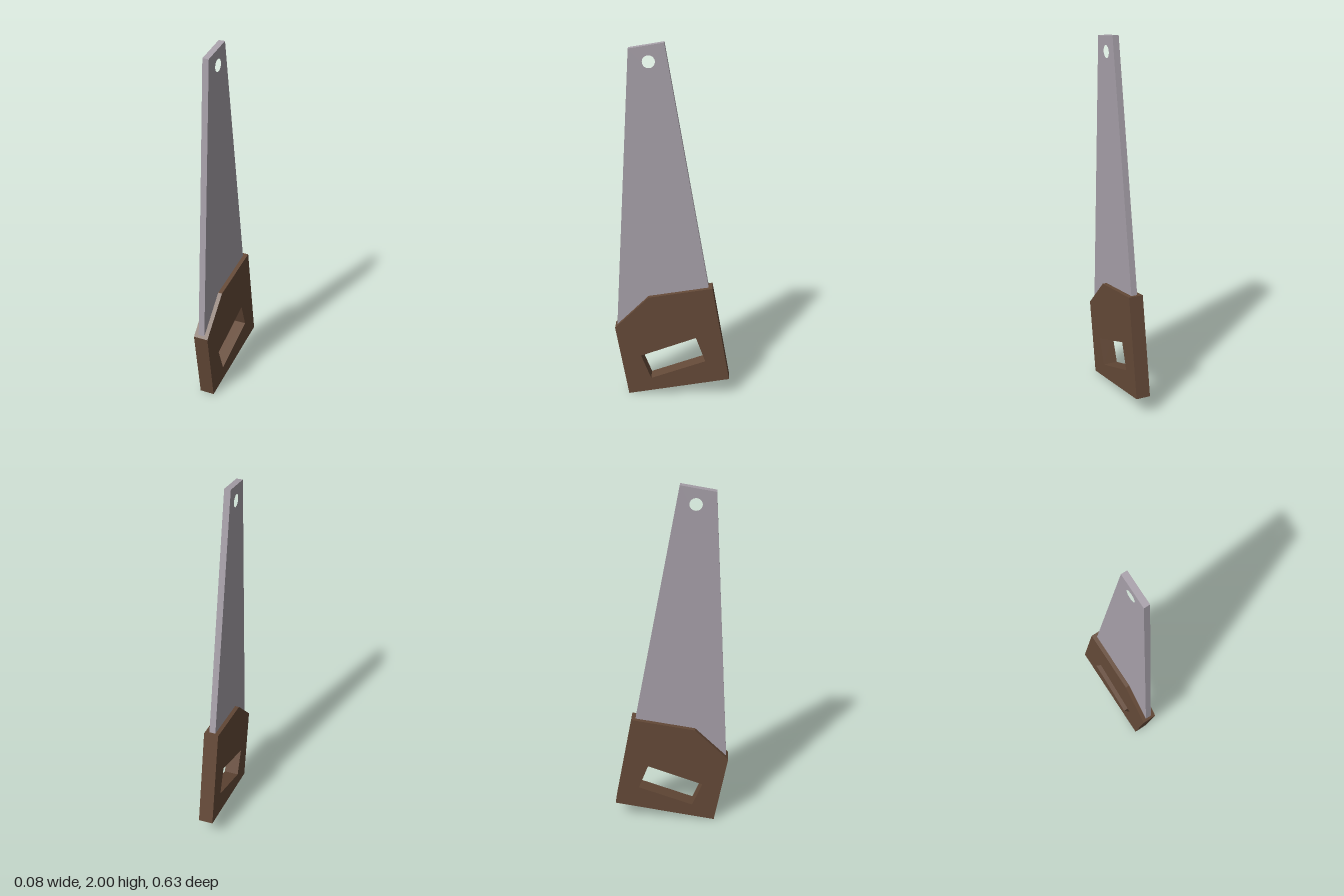
import * as THREE from 'three';

const toPoints = (pairs) => pairs.map(([z, y]) => new THREE.Vector2(z, y));

// Flat plate drawn in the (z, y) plane, with one hole, spanning xMin..xMax
function plate(name, outline, hole, xMin, xMax, color) {
  const shape = new THREE.Shape(toPoints(outline));
  shape.holes.push(hole);
  const geometry = new THREE.ExtrudeGeometry(shape, {
    depth: xMax - xMin, bevelEnabled: false, curveSegments: 20,
  });
  geometry.rotateY(-Math.PI / 2).translate(xMax, 0, 0);
  const mesh = new THREE.Mesh(geometry, new THREE.MeshStandardMaterial({ color }));
  mesh.name = name;
  return mesh;
}

export function createModel() {
  const saw = new THREE.Group();
  saw.name = 'handSaw';

  // Tapered blade with a round hanging hole, its root sunk into the handle
  const hangingHole = new THREE.Path().absarc(0.122, 1.902, 0.033, 0, Math.PI * 2, true);
  saw.add(plate('blade',
    [[0.225, 1.968], [0.307, 0.4], [-0.21, 0.58], [0.042, 2.0]],
    hangingHole, -0.017, 0.017, 0xa8a1aa));

  // Wooden handle with a slanted grip opening
  const gripHole = new THREE.Path(toPoints(
    [[0.175, 0.241], [-0.13, 0.358], [-0.183, 0.213], [0.119, 0.1]]));
  saw.add(plate('handle',
    [[0.317, 0.412], [0.244, 0], [-0.317, 0.103], [-0.217, 0.66], [0.131, 0.6]],
    gripHole, -0.04, 0.04, 0x654a38));

  return saw;
}
